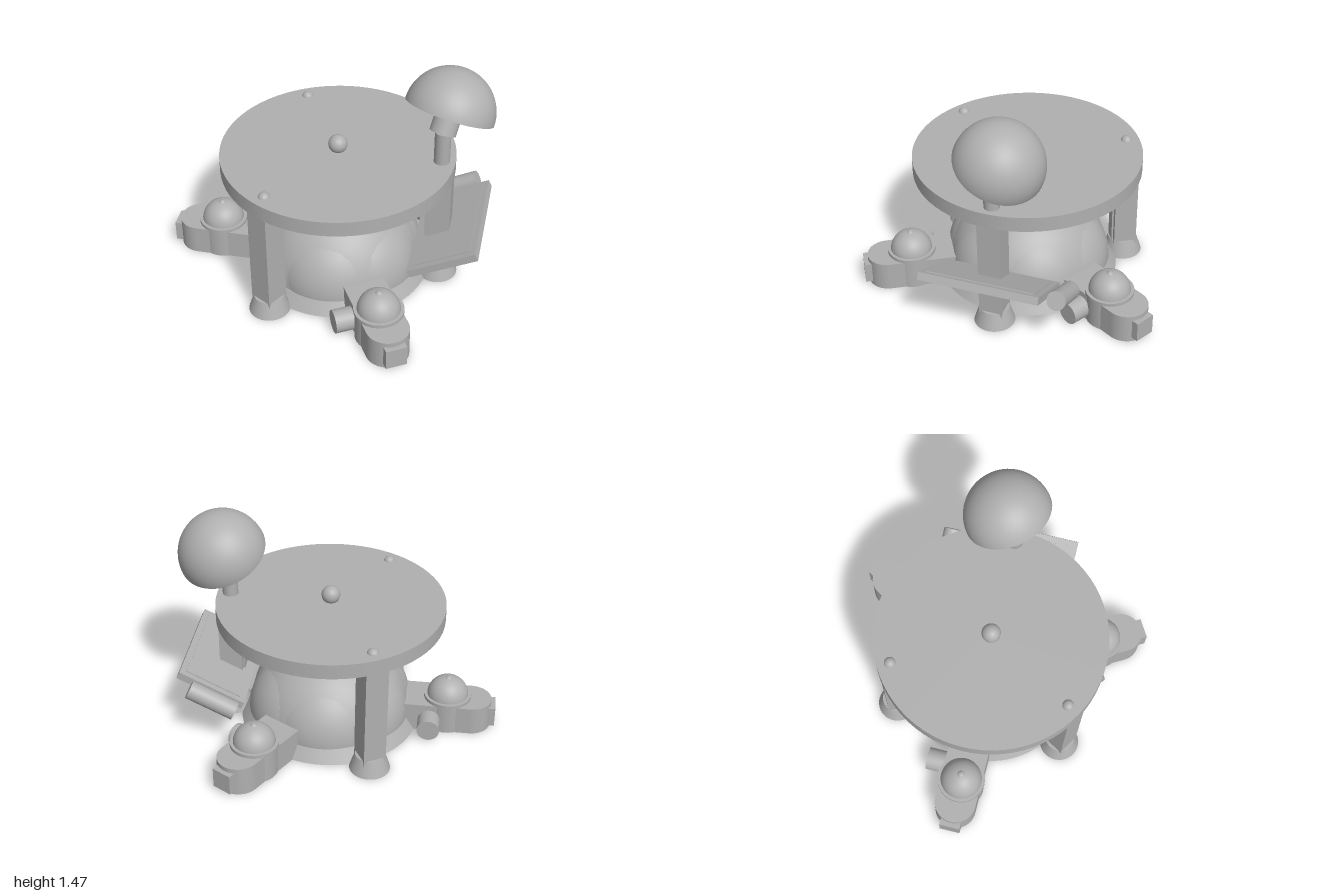
import * as THREE from 'three';

export function createModel() {
  const grey = new THREE.MeshStandardMaterial({ color: 0xb0b0b0 });
  grey.name = 'plain grey';
  grey.side = THREE.DoubleSide;

  const model = new THREE.Group();
  model.name = 'domedStation';
  const hub = new THREE.Group();
  hub.name = 'hub';
  hub.position.set(-0.155, 0, -0.02);
  model.add(hub);

  const add = (parent, name, geo, x = 0, y = 0, z = 0) => {
    const m = new THREE.Mesh(geo, grey);
    m.name = name;
    m.position.set(x, y, z);
    parent.add(m);
    return m;
  };
  const cyl = (top, bottom, h, n = 40) => new THREE.CylinderGeometry(top, bottom, h, n);
  const box = (w, h, d) => new THREE.BoxGeometry(w, h, d);
  const ball = (r) => new THREE.SphereGeometry(r, 28, 18);
  const cap = (r) => new THREE.SphereGeometry(r, 48, 16, 0, Math.PI * 2, 0, Math.PI / 2);
  // Group whose +x points outwards at an angle measured from +x towards +z
  const spoke = (name, degrees) => {
    const g = new THREE.Group();
    g.name = name;
    g.rotation.y = -THREE.MathUtils.degToRad(degrees);
    hub.add(g);
    return g;
  };

  // Base and main dome
  add(hub, 'baseRing', cyl(0.535, 0.59, 0.09, 64), 0, 0.045, 0);
  add(hub, 'mainDome', cap(0.53), 0, 0.05, 0);
  add(hub, 'domeCone', cyl(0.07, 0.14, 0.115), 0, 0.6125, 0);
  add(hub, 'centreRod', cyl(0.032, 0.032, 0.13, 24), 0, 0.72, 0);
  for (let i = 0; i < 6; i++) {
    add(spoke('bulgeSpoke', 30 + 60 * i), 'domeBulge', cap(0.395), 0.15, 0.09, 0);
  }

  // Roof disc with a shallow recess beneath
  add(hub, 'roofDisc', cyl(0.735, 0.735, 0.08, 72), 0, 0.83, 0);
  const ring = new THREE.Shape().absarc(0, 0, 0.735, 0, Math.PI * 2);
  ring.holes.push(new THREE.Path().absarc(0, 0, 0.56, 0, Math.PI * 2, true));
  const rim = new THREE.ExtrudeGeometry(ring, { depth: 0.02, bevelEnabled: false, curveSegments: 36 });
  rim.rotateX(-Math.PI / 2);
  add(hub, 'roofRim', rim, 0, 0.77, 0);
  add(hub, 'roofKnob', ball(0.06), 0, 0.91, 0);
  for (let i = 0; i < 6; i++) {
    add(spoke('plateSpoke', 60 * i), 'roofPlate', box(0.09, 0.015, 0.1), 0.575, 0.7625, 0);
  }
  add(hub, 'hangingBlock', box(0.085, 0.1, 0.085), -0.043, 0.74, 0.08);
  add(hub, 'hangingBlock', box(0.04, 0.1, 0.04), -0.043, 0.74, -0.045);

  // Columns on flared feet
  for (const a of [60, 180, 300]) {
    const g = spoke('column', a);
    add(g, 'columnShaft', box(0.15, 0.77, 0.15), 0.65, 0.385, 0);
    add(g, 'columnStrip', box(0.012, 0.65, 0.08), 0.57, 0.425, 0);
    add(g, 'columnFoot', cyl(0.095, 0.13, 0.11, 36), 0.65, 0.055, 0);
    if (a !== 60) add(g, 'columnRivet', ball(0.038), 0.65, 0.86, 0);
  }

  // Three rounded arms with small domes
  for (const a of [0, 120, 240]) {
    const g = spoke('podArm', a);
    const plan = new THREE.Shape();
    plan.moveTo(0.4, -0.134);
    plan.lineTo(0.935, -0.134);
    plan.absarc(0.935, 0, 0.134, -Math.PI / 2, Math.PI / 2);
    plan.lineTo(0.4, 0.134);
    plan.closePath();
    const body = new THREE.ExtrudeGeometry(plan, { depth: 0.195, bevelEnabled: false, curveSegments: 20 });
    body.rotateX(-Math.PI / 2);
    add(g, 'armBody', body);
    add(g, 'podDrum', cyl(0.148, 0.148, 0.2), 0.78, 0.1, 0);
    add(g, 'podRim', cyl(0.155, 0.155, 0.022), 0.78, 0.209, 0);
    add(g, 'podDome', cap(0.135), 0.78, 0.208, 0);
    add(g, 'podKnob', ball(0.028), 0.78, 0.325, 0);
    add(g, 'endHatch', box(0.1, 0.135, 0.134), 1.047, 0.097, 0);
    add(g, 'sidePort', cyl(0.073, 0.073, 0.2, 32), 0.67, 0.085, 0.155).rotation.x = Math.PI / 2;
  }

  // Sloping panel around the front column, with a drum at its end
  const panel = new THREE.Group();
  panel.name = 'slopingPanel';
  panel.position.set(0.725, 0.36, 0);
  panel.rotation.z = THREE.MathUtils.degToRad(26);
  spoke('panelSpoke', 60).add(panel);
  add(panel, 'panelSlab', box(0.46, 0.05, 0.77));
  add(panel, 'panelInset', box(0.38, 0.008, 0.69), 0, 0.027, 0);
  add(panel, 'panelDrum', cyl(0.06, 0.06, 0.32, 32), -0.03, 0, -0.467).rotation.z = Math.PI / 2;

  // Dish on a mast
  add(hub, 'dishMast', cyl(0.05, 0.05, 0.25, 32), 0.325, 0.965, 0.563);
  const dish = new THREE.Group();
  dish.name = 'dish';
  dish.position.set(0.39, 1.195, 0.555);
  dish.rotation.z = THREE.MathUtils.degToRad(-26.6);
  hub.add(dish);
  add(dish, 'dishShell', cap(0.28));
  add(dish, 'dishInside', cap(0.258));
  const lip = new THREE.RingGeometry(0.258, 0.28, 48);
  lip.rotateX(Math.PI / 2);
  add(dish, 'dishLip', lip);
  add(dish, 'dishNeck', cyl(0.083, 0.083, 0.35, 32), 0, 0.04, 0);

  return model;
}
